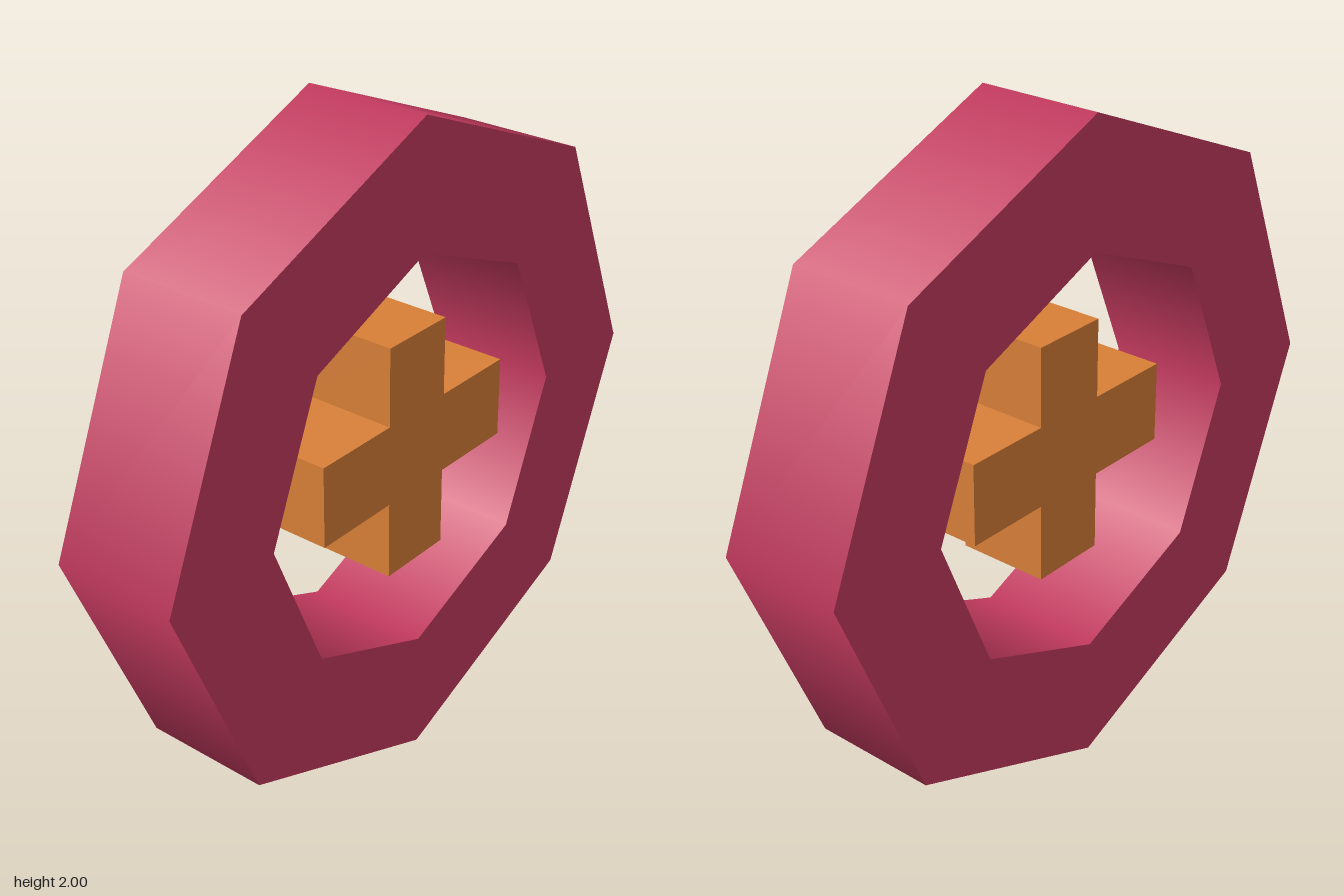
import * as THREE from 'three';
import { mergeGeometries } from 'three/addons/utils/BufferGeometryUtils.js';

export function createModel() {
  const model = new THREE.Group();
  const crimson = new THREE.MeshStandardMaterial({ color: 0xc43a5f });
  crimson.name = 'crimson';
  const orange = new THREE.MeshStandardMaterial({ color: 0xd97f38 });
  orange.name = 'orange';

  // Eight-sided ring: four lathed strips, smooth around but sharp at the rims
  const R = 1, r = 0.62, h = 0.195;
  const corners = [[R, -h], [R, h], [r, h], [r, -h]].map(([x, y]) => new THREE.Vector2(x, y));
  const strips = corners.map((c, i) => new THREE.LatheGeometry([c, corners[(i + 1) % 4]], 8));
  const ring = new THREE.Mesh(mergeGeometries(strips).rotateX(Math.PI / 2), crimson);
  ring.name = 'octagonRing';
  ring.position.y = 1;
  model.add(ring);

  // Plus-shaped block floating in the opening
  const [x0, x1, x2, x3] = [-0.385, -0.105, 0.14, 0.415];
  const [y0, y1, y2, y3] = [0.645, 0.885, 1.133, 1.373];
  const outline = [
    [x1, y0], [x2, y0], [x2, y1], [x3, y1], [x3, y2], [x2, y2],
    [x2, y3], [x1, y3], [x1, y2], [x0, y2], [x0, y1], [x1, y1],
  ].map(([x, y]) => new THREE.Vector2(x, y));
  const cross = new THREE.Mesh(
    new THREE.ExtrudeGeometry(new THREE.Shape(outline), { depth: 0.29, bevelEnabled: false }),
    orange
  );
  cross.name = 'cross';
  cross.position.z = -0.125;
  model.add(cross);

  return model;
}
